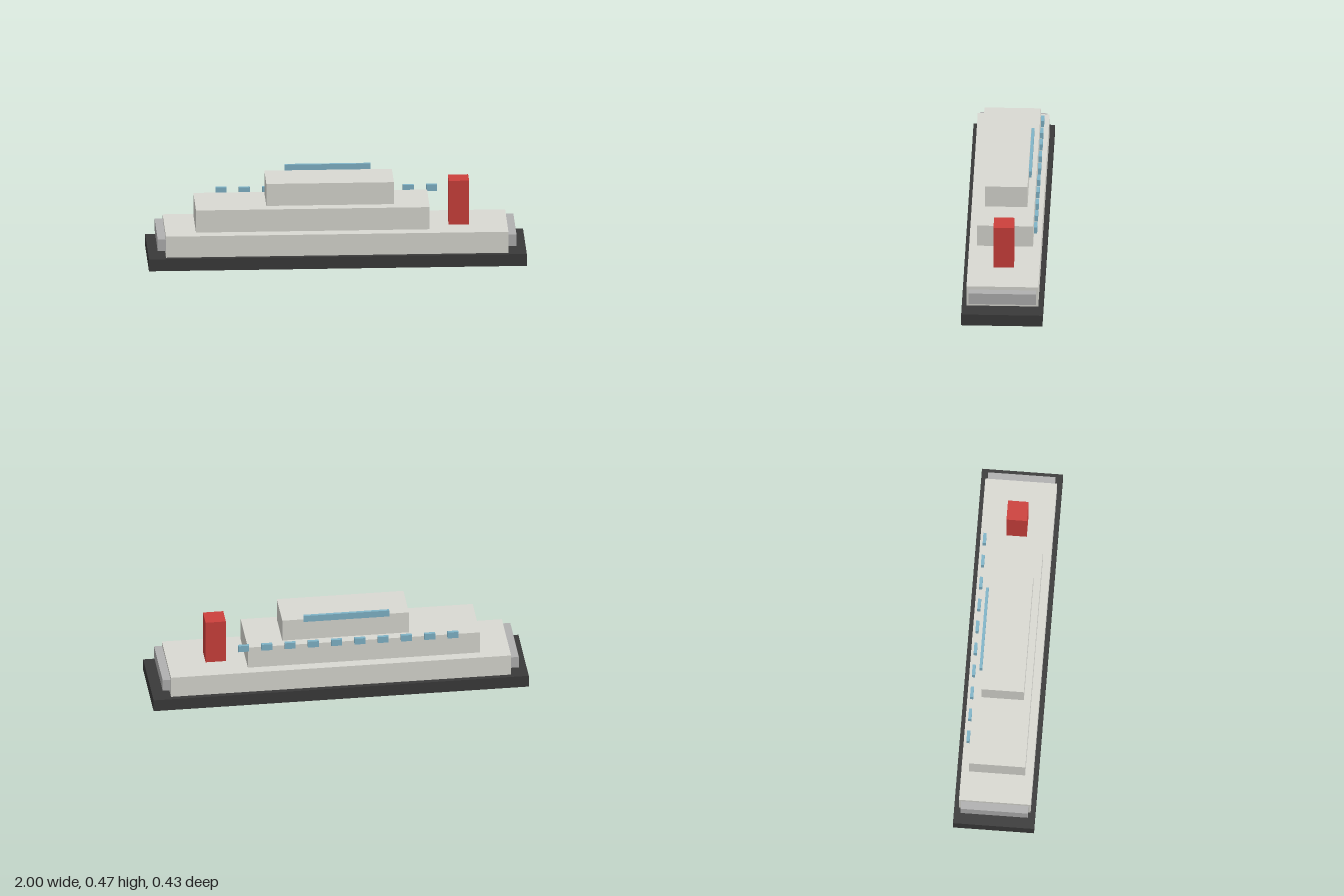
import * as THREE from 'three';

const paint = (color) => new THREE.MeshStandardMaterial({ color });

export function createModel() {
  const ship = new THREE.Group();
  ship.name = 'ship';

  const hullDark = paint(0x3a3a3a);
  const deckCream = paint(0xd9d9d2);
  const steel = paint(0xb0b0b0);
  const red = paint(0xcc403c);
  const glass = paint(0x80b4c8);

  // Box given by its extents along each axis
  function block(name, material, [x0, x1], [y0, y1], [z0, z1]) {
    const mesh = new THREE.Mesh(new THREE.BoxGeometry(x1 - x0, y1 - y0, z1 - z0), material);
    mesh.position.set((x0 + x1) / 2, (y0 + y1) / 2, (z0 + z1) / 2);
    mesh.name = name;
    ship.add(mesh);
  }

  // Hull and stepped decks
  block('hull', hullDark, [-1, 1], [0, 0.066], [-0.215, 0.215]);
  block('lowerDeck', deckCream, [-0.909, 0.904], [0.066, 0.183], [-0.19, 0.19]);
  block('middleDeck', deckCream, [-0.748, 0.489], [0.19, 0.313], [-0.149, 0.149]);
  block('upperDeck', deckCream, [-0.374, 0.301], [0.321, 0.443], [-0.113, 0.113]);

  // End panels at bow and stern
  block('rightEndPanel', steel, [-0.952, -0.909], [0.1, 0.164], [-0.178, 0.178]);
  block('leftEndPanel', steel, [0.904, 0.947], [0.1, 0.164], [-0.178, 0.178]);

  // Funnel
  block('funnel', red, [0.594, 0.702], [0.183, 0.426], [-0.054, 0.054]);

  // Long window strip behind the upper deck
  block('windowStrip', glass, [-0.267, 0.189], [0.437, 0.473], [-0.131, -0.116]);

  // Row of small windows behind the middle deck
  const windowCount = 10;
  for (let i = 0; i < windowCount; i++) {
    const x = -0.602 + i * 0.124;
    block(`window${i + 1}`, glass, [x - 0.029, x + 0.029], [0.302, 0.338], [-0.172, -0.155]);
  }

  return ship;
}
